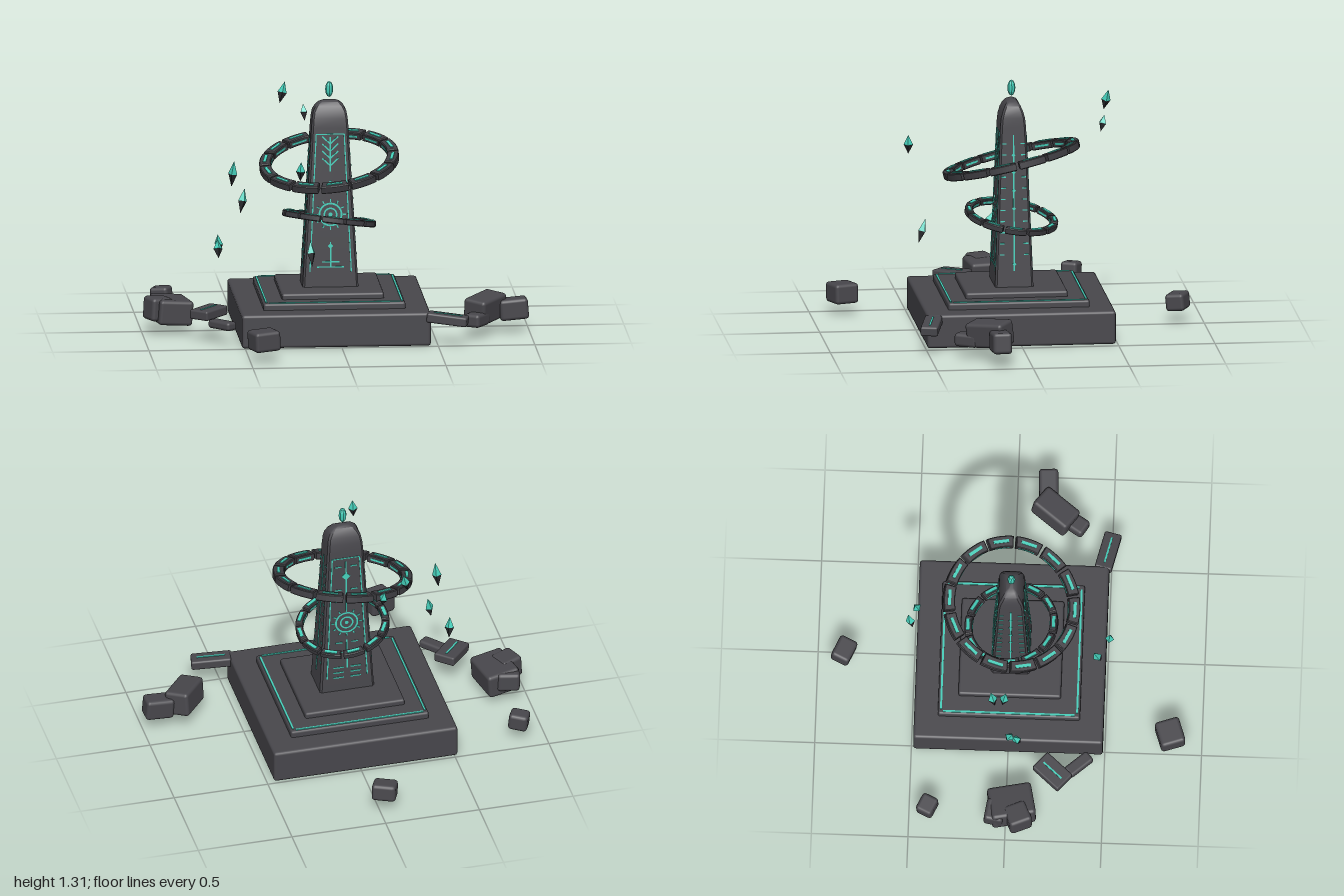
import * as THREE from 'three';
import { RoundedBoxGeometry } from 'three/addons/geometries/RoundedBoxGeometry.js';
import { toCreasedNormals } from 'three/addons/utils/BufferGeometryUtils.js';

const mat = (name, color) => {
  const m = new THREE.MeshStandardMaterial({ color });
  m.name = name;
  return m;
};

export function createModel() {
  const model = new THREE.Group();
  model.name = 'runeMonument';
  const stone = mat('stone', 0x48474c);
  const ringStone = mat('ringStone', 0x3f3e43);
  const glow = mat('glow', 0x45cfba);
  const crystalDark = mat('crystalDark', 0x2a2a2e);

  const add = (parent, name, geo, material, x = 0, y = 0, z = 0) => {
    const m = new THREE.Mesh(geo, material);
    m.name = name;
    m.position.set(x, y, z);
    parent.add(m);
    return m;
  };
  const group = (parent, name, x = 0, y = 0, z = 0) => {
    const g = new THREE.Group();
    g.name = name;
    g.position.set(x, y, z);
    parent.add(g);
    return g;
  };
  const block = (parent, name, w, h, d, x, y, z, r = 0.015) =>
    add(parent, name, new RoundedBoxGeometry(w, h, d, 2, r), stone, x, y, z);

  const monument = group(model, 'monument', -0.027);

  // Stepped base with a glowing square inlay
  block(monument, 'baseSlab', 0.98, 0.175, 0.98, 0, 0.0875, 0);
  block(monument, 'middleStep', 0.735, 0.07, 0.735, 0, 0.175, 0, 0.012);
  block(monument, 'upperStep', 0.53, 0.06, 0.53, 0, 0.21, 0, 0.012);
  for (const s of [-1, 1]) {
    add(monument, 'baseInlay', new THREE.BoxGeometry(0.68, 0.006, 0.01), glow, 0, 0.211, s * 0.352);
    add(monument, 'baseInlay', new THREE.BoxGeometry(0.01, 0.006, 0.68), glow, s * 0.352, 0.211, 0);
  }

  // Obelisk: chamfered rectangles stacked from foot to rounded cap
  const levels = [[0.235, 0.145, 0.1], [1.07, 0.096, 0.067], [1.12, 0.092, 0.062], [1.155, 0.086, 0.052],
    [1.18, 0.073, 0.041], [1.2, 0.053, 0.027], [1.209, 0.03, 0.012]];
  const pos = [], idx = [], N = 8;
  for (const [y, w, d] of levels) {
    const c = Math.min(0.01, d * 0.4);
    for (const [x, z] of [[w, d - c], [w - c, d], [c - w, d], [-w, d - c], [-w, c - d], [c - w, -d], [w - c, -d], [w, c - d]])
      pos.push(x, y, z);
  }
  for (let l = 0; l < levels.length - 1; l++)
    for (let i = 0; i < N; i++) {
      const a = l * N + i, b = l * N + (i + 1) % N;
      idx.push(a, a + N, b, b, a + N, b + N);
    }
  const last = (levels.length - 1) * N;
  for (let i = 1; i < N - 1; i++) idx.push(last, last + i + 1, last + i);
  // loops run clockwise seen from above, so reverse every triangle where needed
  const fixWinding = (p, ix) => {
    const v = (i) => new THREE.Vector3(p[i * 3], p[i * 3 + 1], p[i * 3 + 2]);
    const mid = new THREE.Vector3(0, 0.7, 0);
    for (let t = 0; t < ix.length; t += 3) {
      const a = v(ix[t]), b = v(ix[t + 1]), c = v(ix[t + 2]);
      const n = b.clone().sub(a).cross(c.clone().sub(a));
      if (n.dot(a.sub(mid)) < 0) [ix[t + 1], ix[t + 2]] = [ix[t + 2], ix[t + 1]];
    }
  };
  fixWinding(pos, idx);
  const obelisk = new THREE.BufferGeometry();
  obelisk.setAttribute('position', new THREE.Float32BufferAttribute(pos, 3));
  obelisk.setIndex(idx);
  add(monument, 'obelisk', toCreasedNormals(obelisk, 0.6), stone);

  // Rune faces: flat frames lying on the four sloping sides, y measured from the ground
  const face = (name, turn, depth, tilt) => {
    const g = group(monument, name);
    g.rotation.y = turn;
    const f = group(g, name + 'Plane', 0, 0.235, depth);
    f.rotation.x = -tilt;
    return f;
  };
  const bar = (f, x, y, w, h, rot = 0) => {
    add(f, 'rune', new THREE.BoxGeometry(w, h, 0.006), glow, x, y - 0.235, 0).rotation.z = rot;
  };
  const diamond = (f, x, y, s) => bar(f, x, y, s, s, Math.PI / 4);
  const disc = (f, y, rIn, rOut) =>
    add(f, 'runeRing', new THREE.RingGeometry(rIn, rOut, 32), glow, 0, y - 0.235, 0.003);
  const sunRune = (f, y) => {
    disc(f, y, 0.053, 0.062);
    disc(f, y, 0.028, 0.036);
    disc(f, y, 0, 0.01);
    for (let i = 0; i < 12; i++) {
      const a = i * Math.PI / 6;
      bar(f, Math.cos(a) * 0.073, y + Math.sin(a) * 0.073, 0.016, 0.006, a);
    }
  };
  const frame = (f) => {
    for (const s of [-1, 1]) bar(f, s * 0.09, 0.68, 0.006, 0.72, s * 0.048);
    bar(f, 0, 1.04, 0.146, 0.005);
  };

  const front = face('frontRunes', 0, 0.1, 0.0395);
  frame(front);
  bar(front, 0, 0.935, 0.007, 0.18);
  for (let i = 0; i < 4; i++)
    for (const s of [-1, 1]) bar(front, s * 0.021, 0.895 + i * 0.038, 0.056, 0.007, s * 0.75);
  diamond(front, 0, 0.79, 0.012);
  sunRune(front, 0.62);
  bar(front, 0, 0.41, 0.007, 0.13);
  diamond(front, 0, 0.455, 0.02);
  bar(front, 0, 0.345, 0.14, 0.006);
  bar(front, 0, 0.372, 0.09, 0.006);

  const back = face('backRunes', Math.PI, 0.1, 0.0395);
  frame(back);
  bar(back, 0, 0.87, 0.007, 0.3);
  bar(back, 0, 0.46, 0.007, 0.17);
  diamond(back, 0, 0.93, 0.032);
  sunRune(back, 0.65);
  for (const s of [-1, 1]) {
    for (const y of [0.78, 0.85, 0.99, 0.53, 0.47]) bar(back, s * 0.042, y, 0.035, 0.006);
    for (const y of [0.32, 0.35, 0.38]) bar(back, s * 0.045, y, 0.055, 0.006);
  }

  for (const s of [-1, 1]) {
    const side = face('sideRunes', s * Math.PI / 2, 0.145, 0.0586);
    bar(side, 0, 0.68, 0.007, 0.71);
    for (const y of [0.36, 0.53, 0.65, 0.745, 0.84, 0.93]) diamond(side, 0, y, 0.015);
    for (let i = 0; i < 11; i++)
      for (const t of [-1, 1]) bar(side, t * (0.063 - i * 0.0015), 0.41 + i * 0.058, 0.024, 0.006);
  }

  // Tilted floating rings of separate arc blocks; slopes are rise per x and per z
  const floatingRing = (name, y, rIn, rOut, h, count, slopeX, slopeZ) => {
    const g = group(monument, name, 0, y, 0);
    g.quaternion.setFromUnitVectors(new THREE.Vector3(0, 1, 0), new THREE.Vector3(-slopeX, 1, -slopeZ).normalize());
    const step = Math.PI * 2 / count, half = step / 2 - 0.008 / rOut, b = 0.004;
    const shape = new THREE.Shape();
    shape.absarc(0, 0, rOut - b, -half + 0.012, half - 0.012, false);
    shape.absarc(0, 0, rIn + b, half - 0.012, -half + 0.012, true);
    const geo = new THREE.ExtrudeGeometry(shape, { depth: h - 2 * b, bevelSize: b, bevelThickness: b, bevelSegments: 1, curveSegments: 4 });
    geo.translate(0, 0, b - h / 2).rotateX(-Math.PI / 2);
    const rMid = (rIn + rOut) / 2;
    for (let i = 0; i < count; i++) {
      const seg = group(g, name + 'Segment');
      seg.rotation.y = Math.PI / 2 + i * step;
      add(seg, 'ringBlock', geo, ringStone);
      add(seg, 'ringDash', new THREE.BoxGeometry(0.016, 0.006, rMid * step * 0.55), glow, rMid, h / 2 + 0.001, 0);
      add(seg, 'innerDash', new THREE.BoxGeometry(0.006, 0.01, rIn * step * 0.75), glow, rIn, 0, 0);
    }
  };
  floatingRing('upperRing', 0.885, 0.302, 0.362, 0.04, 14, 0.11, -0.23);
  floatingRing('lowerRing', 0.582, 0.204, 0.244, 0.032, 12, -0.14, 0.155);

  // Tip gem
  const gem = new THREE.SphereGeometry(1, 8, 6).scale(0.021, 0.042, 0.021);
  add(monument, 'tipGem', toCreasedNormals(gem, 0.3), glow, 0, 1.264, 0);

  // Drifting crystals: glowing upper point, dark lower point
  const cone = toCreasedNormals(new THREE.ConeGeometry(1, 1, 4, 1, true).translate(0, 0.5, 0), 0.1);
  [[-0.23, 1.145, -0.515, 0.115, -0.2, -0.25], [-0.12, 1.045, -0.485, 0.09, -0.3, 0.1],
    [-0.215, 0.935, 0.515, 0.1, 0.3, -0.3], [-0.155, 0.49, 0.45, 0.135, -0.2, -0.1],
    [-0.525, 0.82, -0.02, 0.14, 0.1, 0.1], [-0.47, 0.665, -0.08, 0.13, -0.1, 0.2],
    [-0.6, 0.46, 0.01, 0.11, 0.1, -0.25], [-0.607, 0.44, 0.048, 0.1, -0.2, 0.2],
  ].forEach(([x, y, z, h, rx, rz], i) => {
    const g = group(model, 'crystal', x, y, z);
    g.rotation.set(rx, i * 0.7, rz);
    add(g, 'crystalTop', cone, glow).scale.set(0.024, h / 2, 0.024);
    const low = add(g, 'crystalBottom', cone, crystalDark);
    low.scale.set(0.024, h / 2, 0.024);
    low.rotation.x = Math.PI;
  });

  // Scattered rubble: x, y, z, width, height, depth, turn, roll, pitch
  [[-0.03, 0.115, -0.865, 0.125, 0.09, 0.1, -0.42, 0, 0.1], [-0.865, 0.11, -0.405, 0.1, 0.09, 0.09, -0.45, 0.1, 0],
    [-0.85, 0.12, 0.03, 0.18, 0.13, 0.23, 0.2, -0.08, 0], [-0.895, 0.13, -0.055, 0.12, 0.1, 0.1, -0.15, 0.05, 0.05],
    [-0.92, 0.135, 0.065, 0.12, 0.12, 0.12, 0.4, -0.06, 0], [-0.61, 0.105, 0.37, 0.15, 0.045, 0.065, -0.85, 0, 0],
    [-0.43, 0.115, 0.835, 0.14, 0.105, 0.13, 0.33, 0.04, 0], [0.765, 0.14, 0.2, 0.22, 0.13, 0.13, 0.93, 0.08, 0.1],
    [0.715, 0.1, 0.305, 0.13, 0.07, 0.09, 1.0, 0, 0], [0.915, 0.125, 0.16, 0.15, 0.11, 0.1, 0.05, 0.08, 0],
  ].forEach(([x, y, z, w, h, d, turn, roll, pitch]) => {
    block(model, 'rubble', w, h, d, x, y, z, Math.min(0.018, h / 3)).rotation.set(pitch, turn, roll, 'YXZ');
  });

  // Fallen planks with a glowing line
  [[-0.67, 0.145, 0.235, 0.18, 0.115, 0.85, 0.04], [0.55, 0.14, 0.48, 0.21, 0.09, -0.23, -0.1]].forEach(([x, y, z, w, d, turn, roll]) => {
    const g = group(model, 'fallenPlank', x, y, z);
    g.rotation.set(0, turn, roll, 'YXZ');
    block(g, 'plankStone', w, 0.05, d, 0, 0, 0, 0.01);
    add(g, 'plankLine', new THREE.BoxGeometry(w * 0.7, 0.006, 0.009), glow, 0, 0.025, 0);
  });
  return model;
}
